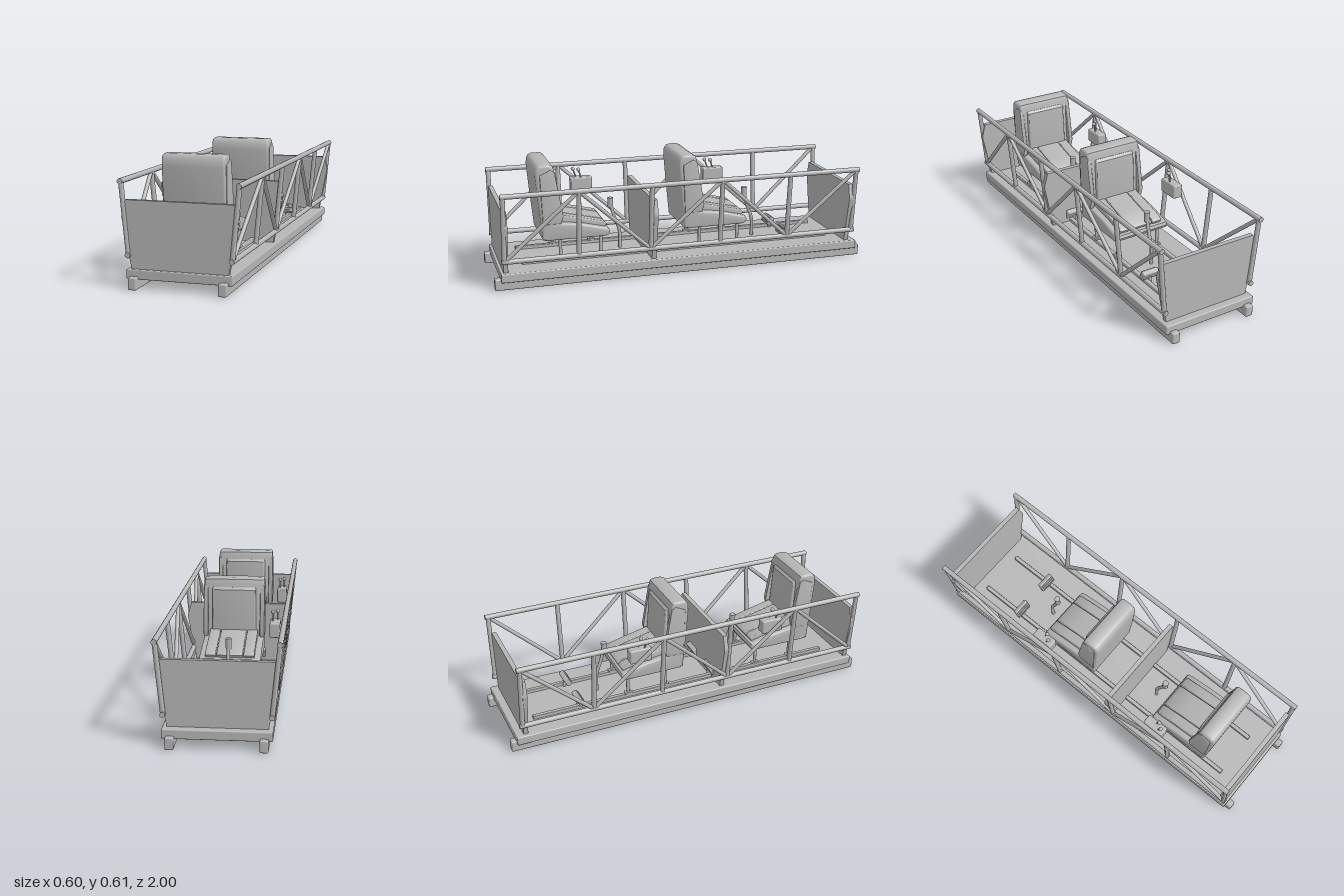
import * as THREE from 'three';
import { RoundedBoxGeometry } from 'three/addons/geometries/RoundedBoxGeometry.js';
import { toCreasedNormals } from 'three/addons/utils/BufferGeometryUtils.js';

const grey = new THREE.MeshStandardMaterial({ color: 0xb6b6b6 });
grey.name = 'plain grey';

const V = (x, y, z) => new THREE.Vector3(x, y, z);

function add(parent, name, geometry, x = 0, y = 0, z = 0) {
  const mesh = new THREE.Mesh(geometry, grey);
  mesh.name = name;
  mesh.position.set(x, y, z);
  parent.add(mesh);
  return mesh;
}

function box(parent, name, w, h, d, x, y, z, r = 0.006) {
  return add(parent, name, new RoundedBoxGeometry(w, h, d, 2, r), x, y, z);
}

// Straight round bar between two points
function bar(parent, name, a, b, r) {
  const mesh = add(parent, name, new THREE.CylinderGeometry(r, r, a.distanceTo(b), 14));
  mesh.position.copy(a).lerp(b, 0.5);
  mesh.quaternion.setFromUnitVectors(V(0, 1, 0), b.clone().sub(a).normalize());
  return mesh;
}

// Side profile given as (z, y) points, extruded across x with a soft bevel
function profile(parent, name, points, width, bevel, x = 0) {
  const shape = new THREE.Shape(points.map(([z, y]) => new THREE.Vector2(z, y)));
  let g = new THREE.ExtrudeGeometry(shape, {
    depth: width - 2 * bevel, bevelThickness: bevel, bevelSize: bevel,
    bevelOffset: -bevel, bevelSegments: 3, curveSegments: 8,
  });
  g.translate(0, 0, -width / 2 + bevel);
  g.rotateY(-Math.PI / 2);
  g = toCreasedNormals(g, 0.7);
  return add(parent, name, g, x);
}

// Trapezoid plate with clipped upper corners
function bulkhead(parent, name, z) {
  const half = [[0.235, 0.09], [0.27, 0.27], [0.283, 0.335], [0.281, 0.35], [0.262, 0.415]];
  const pts = [...half, ...half.map(([x, y]) => [-x, y]).reverse()];
  const shape = new THREE.Shape(pts.map(([x, y]) => new THREE.Vector2(x, y)));
  const g = new THREE.ExtrudeGeometry(shape, { depth: 0.024, bevelEnabled: false });
  add(parent, name, g, 0, 0, z - 0.012);
}

// Leaning truss on one side
function truss(parent, side) {
  const group = new THREE.Group();
  group.name = side > 0 ? 'leftTruss' : 'rightTruss';
  const low = z => V(side * 0.252, 0.155, z);
  const high = z => V(side * 0.285, 0.5, z);
  const stations = [0, 1, 2, 3, 4, 5].map(i => 0.95 - i * 0.378);
  bar(group, 'topRail', high(0.964), high(-0.956), 0.0135);
  bar(group, 'bottomRail', low(0.964), low(-0.956), 0.0135);
  stations.forEach((z, i) => {
    bar(group, 'post', low(z), high(z), 0.0125);
    if (i === 5) return;
    const next = stations[i + 1];
    if (i % 2 === 0) bar(group, 'diagonal', low(z), high(next), 0.0105);
    else bar(group, 'diagonal', high(z), low(next), 0.0105);
  });
  parent.add(group);
}

function seat(parent) {
  const group = new THREE.Group();
  group.name = 'seat';
  // Backrest shell and its padding
  profile(group, 'backrest', [
    [0.735, 0.215], [0.755, 0.42], [0.766, 0.55], [0.764, 0.585], [0.752, 0.604], [0.735, 0.61],
    [0.692, 0.61], [0.676, 0.602], [0.668, 0.58], [0.66, 0.4], [0.645, 0.215],
  ], 0.315, 0.012);
  profile(group, 'backPadding', [
    [0.69, 0.32], [0.7, 0.555], [0.664, 0.562], [0.652, 0.55], [0.638, 0.35], [0.642, 0.32],
  ], 0.23, 0.008);
  for (const s of [-1, 1]) {
    profile(group, 'backBolster', [
      [0.735, 0.3], [0.745, 0.56], [0.69, 0.585], [0.668, 0.57], [0.628, 0.34], [0.64, 0.3],
    ], 0.025, 0.005, s * 0.149);
  }
  // Pan with rounded nose, and cushion in three strips
  profile(group, 'seatPan', [
    [0.725, 0.212], [0.41, 0.212], [0.391, 0.22], [0.384, 0.235], [0.39, 0.25], [0.41, 0.258],
    [0.52, 0.285], [0.66, 0.305], [0.725, 0.3],
  ], 0.315, 0.01);
  const strips = [[0, 0.134], [-0.0985, 0.055], [0.0985, 0.055]];
  for (const [x, w] of strips) {
    profile(group, 'cushion', [
      [0.67, 0.29], [0.67, 0.338], [0.64, 0.338], [0.5, 0.306], [0.41, 0.284], [0.396, 0.268], [0.405, 0.25],
    ], w, 0.005, x);
  }
  // Legs standing on the tracks
  for (const x of [-0.122, 0.122]) for (const z of [0.43, 0.643]) {
    bar(group, 'seatLeg', V(x, 0.1, z), V(x, 0.225, z), 0.009);
    box(group, 'legFoot', 0.03, 0.012, 0.04, x, 0.113, z, 0.004);
  }
  parent.add(group);
}

function controls(parent) {
  const group = new THREE.Group();
  group.name = 'controls';
  // Control stick with grip
  const path = new THREE.CatmullRomCurve3([
    V(0, 0.09, 0.298), V(0, 0.19, 0.3), V(0, 0.26, 0.325), V(0, 0.34, 0.347),
  ]);
  add(group, 'controlStick', new THREE.TubeGeometry(path, 16, 0.009, 10));
  add(group, 'stickGrip', new THREE.CylinderGeometry(0.016, 0.014, 0.055, 14), 0, 0.345, 0.347);
  // Lever box on the right side
  box(group, 'leverBox', 0.053, 0.075, 0.118, -0.228, 0.402, 0.458, 0.007);
  for (const [x, z, tip] of [[-0.238, 0.48, 0.498], [-0.216, 0.455, 0.472]]) {
    bar(group, 'lever', V(x, 0.43, z), V(x, 0.482, tip), 0.004);
    add(group, 'leverKnob', new THREE.SphereGeometry(0.0105, 14, 10), x, 0.482, tip);
  }
  // Foot pedals with ridges
  for (const x of [-0.105, 0.105]) {
    const pedal = new THREE.Group();
    pedal.name = 'pedal';
    box(pedal, 'pedalPlate', 0.094, 0.05, 0.028, 0, 0, 0, 0.006);
    for (const y of [-0.014, 0, 0.014]) box(pedal, 'pedalRidge', 0.085, 0.006, 0.008, 0, y, 0.015, 0.002);
    pedal.position.set(x, 0.138, 0.158);
    pedal.rotation.x = -0.5;
    group.add(pedal);
    bar(group, 'pedalStem', V(x, 0.09, 0.15), V(x, 0.135, 0.155), 0.008);
  }
  parent.add(group);
}

export function createModel() {
  const model = new THREE.Group();
  model.name = 'tandemCockpitFrame';

  // Floor, skids and seat tracks
  box(model, 'floor', 0.515, 0.047, 1.942, 0, 0.0685, -0.002, 0.006);
  for (const s of [-1, 1]) {
    box(model, 'skid', 0.041, 0.06, 2, s * 0.218, 0.03, 0, 0.007);
    box(model, 'seatTrack', 0.022, 0.024, 1.695, s * 0.122, 0.098, -0.002, 0.004);
    truss(model, s);
  }

  bulkhead(model, 'frontBulkhead', 0.943);
  bulkhead(model, 'middleBulkhead', 0.172);
  bulkhead(model, 'rearBulkhead', -0.922);

  // Two identical stations, one behind the other
  for (const z of [0, -0.755]) {
    const station = new THREE.Group();
    station.name = 'station';
    seat(station);
    controls(station);
    station.position.z = z;
    model.add(station);
  }
  return model;
}
